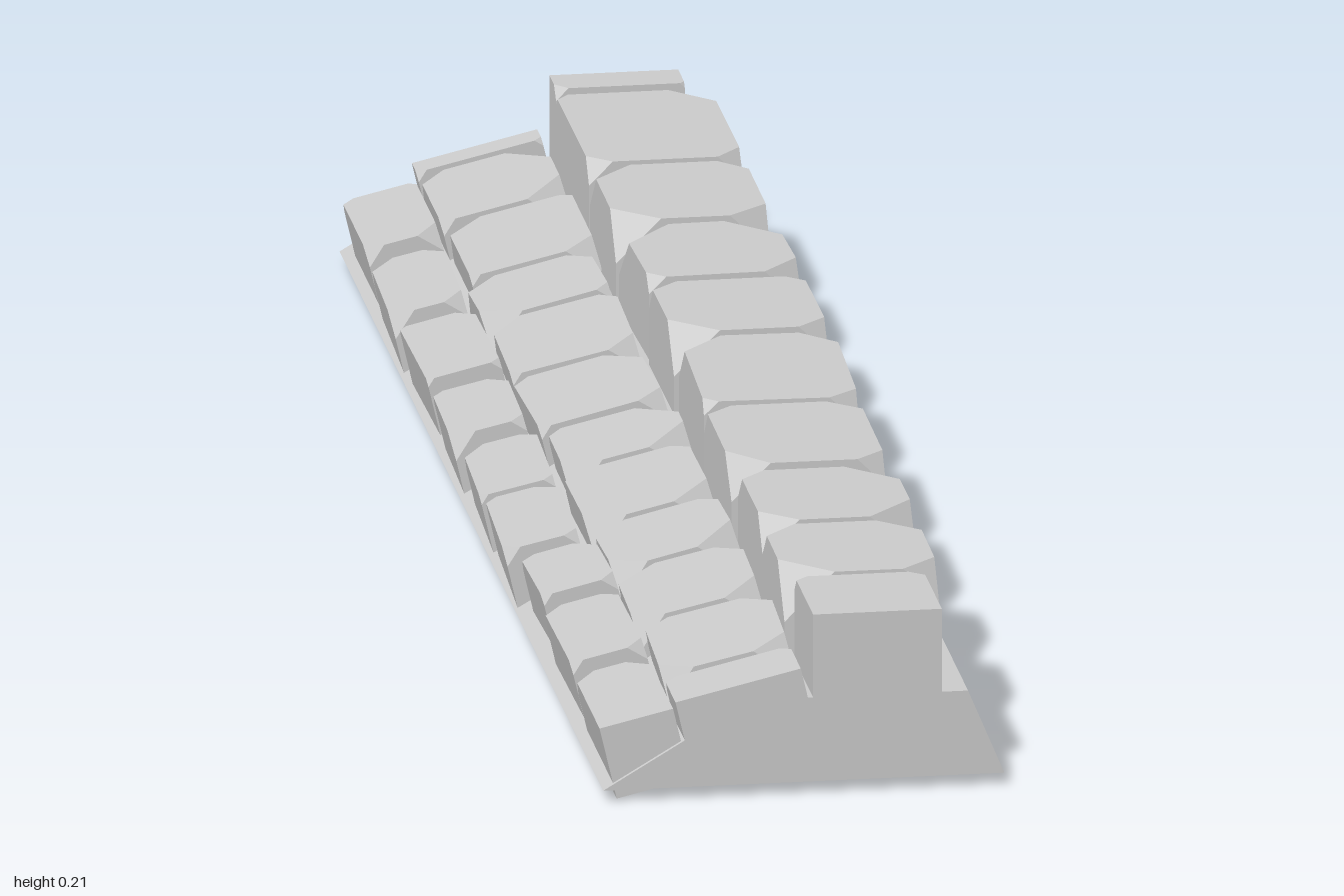
import * as THREE from 'three';
import { ConvexGeometry } from 'three/addons/geometries/ConvexGeometry.js';

const material = new THREE.MeshStandardMaterial({ color: 0xcccccc, flatShading: true });

// Small seeded generator for the irregular stone cuts
let seed = 7;
const rand = () => (seed = (seed * 16807) % 2147483647) / 2147483647;

// Block with its top face at y = 0 and its upper corners cut off.
// Ends lying on the kerb's cut planes (z = +-1) keep square corners.
function stoneGeometry(width, height, z0, z1) {
  const points = [];
  const middle = (z0 + z1) / 2, length = z1 - z0;
  for (const sx of [-1, 1]) {
    for (const sz of [-1, 1]) {
      const x = sx * width / 2, z = sz * length / 2;
      points.push(new THREE.Vector3(x, -height, z));
      if (Math.abs(middle + z) > 0.99) {
        points.push(new THREE.Vector3(x, 0, z));
      } else {
        const cut = Math.min(width, length) * (0.08 + 0.26 * rand());
        points.push(
          new THREE.Vector3(x - sx * cut, 0, z),
          new THREE.Vector3(x, 0, z - sz * cut * (0.8 + 0.4 * rand())),
          new THREE.Vector3(x, -Math.min(cut, height * 0.6), z));
      }
    }
  }
  return new ConvexGeometry(points);
}

// Row of stones; x, y mark the middle of the row's top surface
function stoneRow({ name, x, y, tilt, width, height, spans }) {
  const row = new THREE.Group();
  row.name = name + 'Row';
  spans.forEach(([z0, z1], i) => {
    const stone = new THREE.Mesh(stoneGeometry(width, height, z0, z1), material);
    stone.name = name + (i + 1);
    const inner = Math.max(Math.abs(z0), Math.abs(z1)) < 0.94;
    const shift = inner ? (rand() - 0.5) * 0.012 : 0;
    stone.position.set(x + shift, y + shift * Math.tan(tilt), (z0 + z1) / 2);
    stone.rotation.set(0, inner ? (rand() - 0.5) * 0.07 : 0, tilt, 'ZYX');
    row.add(stone);
  });
  return row;
}

export function createModel() {
  seed = 7;
  const model = new THREE.Group();
  model.name = 'stoneKerb';

  // Mortar bed: a sloped prism running the whole length
  const profile = new THREE.Shape([
    [-0.225, 0.012], [0.227, 0.012], [0.186, 0.11], [-0.06, 0.11],
  ].map(([x, y]) => new THREE.Vector2(x, y)));
  const bed = new THREE.Mesh(
    new THREE.ExtrudeGeometry(profile, { depth: 2, bevelEnabled: false }).translate(0, 0, -1),
    material);
  bed.name = 'mortarBed';
  model.add(bed);

  // Upright kerb stones along the top
  model.add(stoneRow({
    name: 'kerbStone', x: 0.092, y: 0.206, tilt: 0, width: 0.174, height: 0.136,
    spans: [[-0.93, -0.68], [-0.665, -0.465], [-0.445, -0.255], [-0.235, -0.05],
      [-0.03, 0.21], [0.225, 0.44], [0.465, 0.65], [0.665, 0.845]],
  }));

  // Narrower kerb stones cut flush with both ends
  model.add(stoneRow({
    name: 'kerbEndStone', x: 0.084, y: 0.207, tilt: 0, width: 0.145, height: 0.137,
    spans: [[-1, -0.95], [0.86, 1]],
  }));

  // Tilted paving stones beside the kerb
  model.add(stoneRow({
    name: 'pavingStone', x: -0.073, y: 0.128, tilt: 0.23, width: 0.145, height: 0.1,
    spans: [[-1, -0.965], [-0.95, -0.78], [-0.765, -0.575], [-0.56, -0.42],
      [-0.405, -0.215], [-0.2, -0.02], [0, 0.14], [0.155, 0.34], [0.355, 0.51],
      [0.525, 0.7], [0.715, 0.9], [0.915, 1]],
  }));

  // Small stones along the low edge
  model.add(stoneRow({
    name: 'edgeStone', x: -0.187, y: 0.093, tilt: 0.23, width: 0.085, height: 0.085,
    spans: [[-0.96, -0.78], [-0.73, -0.54], [-0.495, -0.3], [-0.25, -0.09],
      [-0.04, 0.13], [0.145, 0.33], [0.365, 0.51], [0.555, 0.755], [0.8, 0.995]],
  }));

  return model;
}
